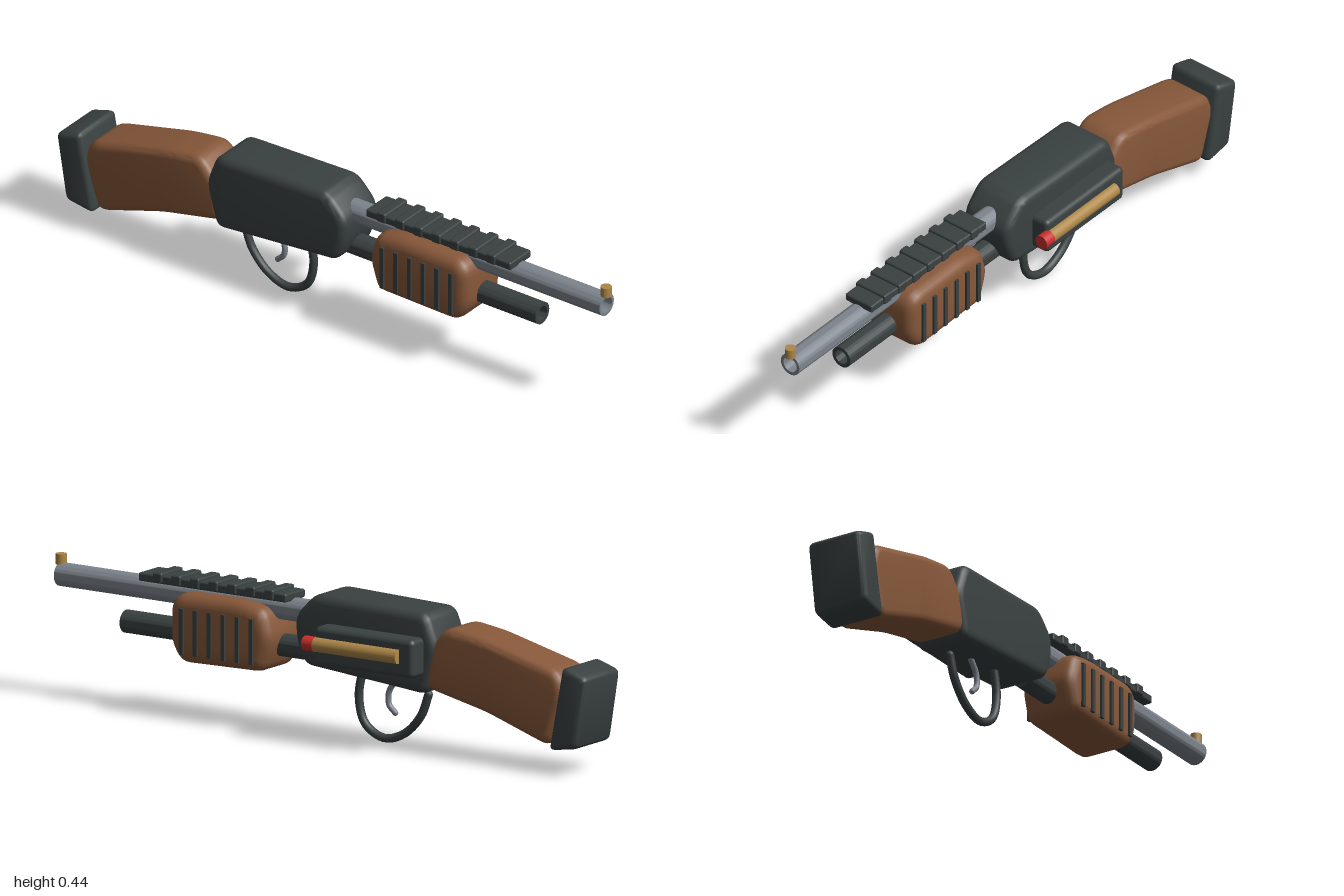
import * as THREE from 'three';
import { toCreasedNormals } from 'three/addons/utils/BufferGeometryUtils.js';
import { RoundedBoxGeometry } from 'three/addons/geometries/RoundedBoxGeometry.js';

const CX = -0.035; // centre plane of the gun

function material(name, color) {
  const m = new THREE.MeshStandardMaterial({ color });
  m.name = name;
  return m;
}

// Closed outline with softened corners
function roundedShape(points, r) {
  const p = points.map(([a, b]) => new THREE.Vector2(a, b));
  const shape = new THREE.Shape();
  p.forEach((c, i) => {
    const prev = p[(i + p.length - 1) % p.length], next = p[(i + 1) % p.length];
    const toward = (q) => c.clone().lerp(q, Math.min(0.45, r / c.distanceTo(q)));
    const a = toward(prev), b = toward(next);
    if (i === 0) shape.moveTo(a.x, a.y); else shape.lineTo(a.x, a.y);
    shape.quadraticCurveTo(c.x, c.y, b.x, b.y);
  });
  shape.closePath();
  return shape;
}

// Side profile of [z, y] points, extruded across x with a rounded bevel
function profileBody(points, width, bevel, corner) {
  const geo = new THREE.ExtrudeGeometry(roundedShape(points, corner), {
    depth: width - 2 * bevel, bevelSize: bevel, bevelThickness: bevel,
    bevelOffset: -bevel, bevelSegments: 4, curveSegments: 4,
  });
  geo.translate(0, 0, -(width - 2 * bevel) / 2);
  geo.rotateY(-Math.PI / 2);
  return toCreasedNormals(geo, 0.6);
}

// Open hollow pipe along z
function pipe(outer, inner, z0, z1) {
  const shape = new THREE.Shape().absarc(0, 0, outer, 0, Math.PI * 2);
  shape.holes.push(new THREE.Path().absarc(0, 0, inner, 0, Math.PI * 2, true));
  const geo = new THREE.ExtrudeGeometry(shape, { depth: z1 - z0, bevelEnabled: false, curveSegments: 24 });
  geo.translate(0, 0, z0);
  return toCreasedNormals(geo, 0.6);
}

// Bent rod through [z, y] points in the centre plane
function rod(points, radius) {
  const curve = new THREE.CatmullRomCurve3(points.map(([z, y]) => new THREE.Vector3(0, y, z)));
  return new THREE.TubeGeometry(curve, 40, radius, 12);
}

export function createModel() {
  const group = new THREE.Group();
  const dark = material('darkMetal', 0x3a4141);
  const steel = material('steel', 0x7d848c);
  const wood = material('wood', 0x87583a);
  const brass = material('brass', 0xad8748);
  const red = material('red', 0xc9302c);

  const add = (name, geo, mat, x = CX, y = 0, z = 0) => {
    const mesh = new THREE.Mesh(geo, mat);
    mesh.name = name;
    mesh.position.set(x, y, z);
    group.add(mesh);
    return mesh;
  };

  // Barrel, magazine tube and bead sight
  add('barrel', pipe(0.036, 0.026, 0, 0.985), steel, CX, 0.367);
  add('magazineTube', pipe(0.035, 0.023, 0.03, 0.745), dark, CX, 0.253);
  add('beadSight', new THREE.CylinderGeometry(0.017, 0.017, 0.032, 20), brass, CX, 0.414, 0.983);

  // Receiver
  add('receiver', profileBody([
    [0.073, 0.37], [0.0, 0.445], [-0.41, 0.434], [-0.45, 0.33],
    [-0.41, 0.185], [0.04, 0.223], [0.07, 0.30],
  ], 0.178, 0.026, 0.03), dark);

  // Stock and butt pad
  add('stock', profileBody([
    [-0.40, 0.31], [-0.475, 0.402], [-0.60, 0.385], [-0.885, 0.315],
    [-0.91, 0.25], [-0.855, 0.08], [-0.62, 0.157], [-0.40, 0.205],
  ], 0.163, 0.026, 0.035), wood);
  add('buttPad', profileBody([
    [-0.912, 0.338], [-1.002, 0.31], [-0.966, 0.09], [-0.862, 0.074],
  ], 0.187, 0.018, 0.02), dark);

  // Pump grip with ribs on both sides
  add('pumpGrip', profileBody([
    [0.528, 0.35], [0.495, 0.384], [0.27, 0.386], [0.185, 0.37],
    [0.158, 0.28], [0.19, 0.178], [0.49, 0.172], [0.528, 0.23],
  ], 0.188, 0.036, 0.03), wood);
  for (let i = 0; i < 6; i++) {
    for (const side of [-1, 1]) {
      add('gripRib', new THREE.BoxGeometry(0.014, 0.14, 0.014), dark,
        CX + side * 0.094, 0.272, 0.475 - i * 0.051);
    }
  }

  // Top rail with cross slats
  add('rail', new RoundedBoxGeometry(0.104, 0.026, 0.54, 2, 0.006), dark, CX, 0.408, 0.395);
  for (let i = 0; i < 7; i++) {
    add('railSlat', new RoundedBoxGeometry(0.115, 0.033, 0.034, 2, 0.006), dark,
      CX, 0.413, 0.593 - i * 0.068);
  }

  // Shell carrier on the left side
  add('shellCarrier', new RoundedBoxGeometry(0.08, 0.118, 0.362, 3, 0.016), dark, 0.071, 0.303, -0.225);
  const shell = new THREE.CylinderGeometry(0.022, 0.022, 0.307, 24).rotateX(Math.PI / 2);
  add('shellCase', shell, brass, 0.112, 0.308, -0.2035);
  const tip = new THREE.CylinderGeometry(0.023, 0.023, 0.038, 24).rotateX(Math.PI / 2);
  add('shellTip', tip, red, 0.112, 0.308, -0.033);

  // Trigger and guard, closed at their free ends
  add('triggerGuard', rod([
    [-0.125, 0.23], [-0.107, 0.13], [-0.13, 0.05], [-0.2, 0.014],
    [-0.275, 0.038], [-0.335, 0.10], [-0.362, 0.168],
  ], 0.013), dark);
  add('guardEnd', new THREE.SphereGeometry(0.013, 12, 8), dark, CX, 0.168, -0.362);
  add('trigger', rod([
    [-0.255, 0.21], [-0.218, 0.16], [-0.217, 0.12], [-0.24, 0.096],
  ], 0.009), steel);
  add('triggerEnd', new THREE.SphereGeometry(0.009, 12, 8), steel, CX, 0.096, -0.24);

  return group;
}
